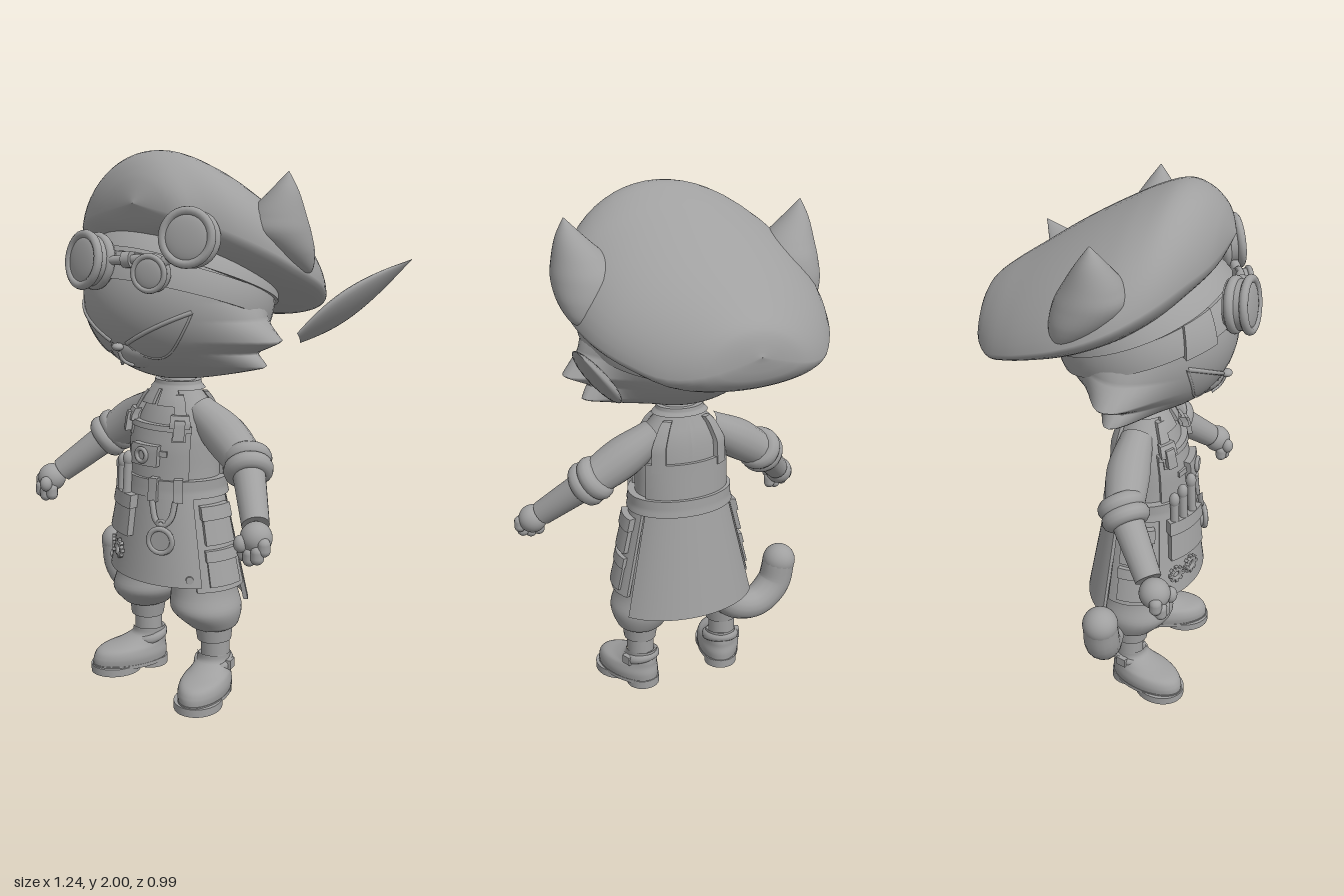
import * as THREE from 'three';
import { ParametricGeometry } from 'three/addons/geometries/ParametricGeometry.js';

const V = (x, y, z) => new THREE.Vector3(x, y, z);
const { sin, cos, sqrt, max, PI, abs } = Math;
const { lerp } = THREE.MathUtils;

// Smooth sample of a table of rows, t in 0..1
function sample(rows, t) {
  const f = t * (rows.length - 1), i = Math.min(Math.floor(f), rows.length - 2), k = f - i;
  const r = j => rows[THREE.MathUtils.clamp(j, 0, rows.length - 1)];
  return rows[0].map((_, c) => {
    const [a, b, d, e] = [r(i - 1)[c], r(i)[c], r(i + 1)[c], r(i + 2)[c]];
    return b + 0.5 * k * (d - a + k * (2 * a - 5 * b + 4 * d - e + k * (3 * (b - d) + e - a)));
  });
}
// Straight-line lookup in rows whose first column is y, rising
function lookup(rows, y) {
  let i = 0;
  while (i < rows.length - 2 && y > rows[i + 1][0]) i++;
  const k = (y - rows[i][0]) / (rows[i + 1][0] - rows[i][0]);
  return rows[i].map((v, c) => lerp(v, rows[i + 1][c], k));
}
// Stacked ellipses, rows of [y, cx, cz, rx, rz] from bottom to top
const loft = (rows, seg = 32, steps = 24) => new ParametricGeometry((u, v, p) => {
  const [y, cx, cz, rx, rz] = sample(rows, v), a = u * 2 * PI;
  p.set(cx + max(rx, 0.001) * sin(a), y, cz + max(rz, 0.001) * cos(a));
}, seg, steps);

// Body outline: y, half width, front depth, back depth
const CZ = 0.09;
const BODY = [[0.34, 0.295, 0.225, 0.205], [0.8, 0.18, 0.165, 0.125], [0.95, 0.18, 0.15, 0.115],
  [1.05, 0.175, 0.125, 0.11], [1.12, 0.13, 0.09, 0.09], [1.17, 0.075, 0.06, 0.06], [1.24, 0.06, 0.05, 0.05]];
function onBody(a, y, off = 0) {
  const [, rx, rf, rb] = lookup(BODY, y).map(r => r + off);
  return V(rx * sin(a), y, CZ + cos(a) * (cos(a) > 0 ? rf : rb));
}
// Curved slab that follows the body
function panelGeo(a0, a1, y0, y1, inner, outer, rule = onBody) {
  const g = new THREE.BoxGeometry(1, 1, 1, Math.ceil(abs(a1 - a0) * 9) + 1, 8, 1), p = g.attributes.position;
  for (let i = 0; i < p.count; i++) {
    const q = rule(lerp(a0, a1, p.getX(i) + 0.5), lerp(y0, y1, p.getY(i) + 0.5), lerp(inner, outer, p.getZ(i) + 0.5));
    p.setXYZ(i, q.x, q.y, q.z);
  }
  g.computeVertexNormals();
  return g;
}
// Tube whose radius changes along its path
function limb(points, radii) {
  const curve = new THREE.CatmullRomCurve3(points), n = 24, m = 16;
  const g = new THREE.TubeGeometry(curve, n, 1, m), p = g.attributes.position, q = V(0, 0, 0);
  for (let i = 0; i < p.count; i++) {
    const t = Math.floor(i / (m + 1)) / n, c = curve.getPointAt(t), r = sample(radii.map(x => [x]), t)[0];
    q.fromBufferAttribute(p, i).sub(c).multiplyScalar(r).add(c);
    p.setXYZ(i, q.x, q.y, q.z);
  }
  return g;
}
// Head surface, and how far the cheek fur flares out at each height
const HEAD = { y: 1.49, z: 0.1, rx: 0.36, ry: 0.3, rz: 0.315 };
const FUR = [[1.19, 0], [1.22, 0.06], [1.265, 0.168], [1.312, 0.075], [1.36, 0.148], [1.43, 0.04], [1.5, 0], [1.8, 0]];
const faceAt = (x, y, off = 0) => V(x, y, HEAD.z + off +
  HEAD.rz * sqrt(max(0.01, 1 - (x / HEAD.rx) ** 2 - ((y - HEAD.y) / HEAD.ry) ** 2)));

export function createModel() {
  const model = new THREE.Group();
  const grey = new THREE.MeshStandardMaterial({ color: 0xa0a0a0 });
  const add = (name, geo, pos, parent = model) => {
    const m = new THREE.Mesh(geo, grey);
    m.name = name;
    if (pos) m.position.copy(pos);
    parent.add(m);
    return m;
  };
  const ball = (name, pos, rx, ry = rx, rz = rx) =>
    add(name, new THREE.SphereGeometry(1, 32, 20).scale(rx, ry, rz), pos);
  const rod = (name, a, b, r0, r1 = r0, seg = 20) => {
    const d = b.clone().sub(a);
    const m = add(name, new THREE.CylinderGeometry(r1, r0, d.length(), seg), a.clone().lerp(b, 0.5));
    m.quaternion.setFromUnitVectors(V(0, 1, 0), d.normalize());
  };
  const wire = (name, pts, r) =>
    add(name, new THREE.TubeGeometry(new THREE.CatmullRomCurve3(pts), 20, r, 8));
  const panel = (name, ...args) => add(name, panelGeo(...args));
  const facing = (name, pos, dir) => {
    const g = new THREE.Group();
    g.name = name;
    g.position.copy(pos);
    g.lookAt(pos.clone().add(dir));
    model.add(g);
    return g;
  };
  const mount = (name, a, y, off) => facing(name, onBody(a, y, off), V(sin(a), 0, cos(a)));
  const disc = (r, h, seg = 28) => new THREE.CylinderGeometry(r, r, h, seg).rotateX(PI / 2);

  // Head with cheek fur, and face
  add('head', new ParametricGeometry((u, v, p) => {
    const a = u * 2 * PI, t = lerp(-0.499, 0.499, v) * PI, y = HEAD.y + HEAD.ry * sin(t);
    const flare = lookup(FUR, y)[1] * abs(sin(a)) ** 12;
    p.set(sin(a) * (HEAD.rx * cos(t) + flare), y, HEAD.z + HEAD.rz * cos(t) * cos(a) - 0.25 * flare);
  }, 64, 72));
  ball('muzzle', V(0, 1.325, 0.24), 0.13, 0.085, 0.135);
  ball('nose', V(0, 1.33, 0.383), 0.022, 0.014, 0.02);
  for (const s of [1, -1]) {
    wire('mouth', [V(0, 1.315, 0.378), V(s * 0.005, 1.28, 0.36), V(s * 0.03, 1.262, 0.335)], 0.006);
    const lid = u => [s * lerp(0.04, 0.28, u), lerp(1.345, 1.465, u)];
    const low = u => lid(u)[1] - 0.1 * sin(PI * u) ** 0.75;
    add('eye', new ParametricGeometry((u, v, p) => {
      const k = s > 0 ? u : 1 - u, [x, y] = lid(k);
      p.copy(faceAt(x, lerp(low(k), y, v), 0.003));
    }, 20, 8));
    const steps = [...Array(13).keys()].map(i => i / 12);
    wire('eyelid', steps.map(u => faceAt(...lid(u), 0.001)), 0.008);
    wire('eye rim', steps.map(u => faceAt(lid(u)[0], low(u))), 0.005);
    // Ears
    add('ear', loft([[1.565, s * 0.42, -0.085, 0.001, 0.001], [1.59, s * 0.41, -0.075, 0.065, 0.05],
      [1.65, s * 0.4, -0.035, 0.105, 0.098], [1.72, s * 0.39, 0.004, 0.122, 0.122],
      [1.78, s * 0.403, 0.016, 0.102, 0.1], [1.86, s * 0.438, 0.02, 0.05, 0.05],
      [1.925, s * 0.457, 0.02, 0.001, 0.001]]));
  }

  // Beret: slices along z of [z, top, bottom, half width, centre x]
  const slices = [[-0.5, 1.521, 1.52, 0.001, -0.02], [-0.475, 1.605, 1.425, 0.18, -0.02],
    [-0.4, 1.67, 1.385, 0.305, -0.02], [-0.3, 1.735, 1.41, 0.39, -0.015], [-0.2, 1.8, 1.44, 0.445, -0.01],
    [-0.1, 1.86, 1.47, 0.475, -0.01], [0, 1.915, 1.505, 0.482, -0.01], [0.1, 1.965, 1.55, 0.465, -0.005],
    [0.2, 1.998, 1.61, 0.4, 0], [0.28, 1.975, 1.68, 0.3, 0.015], [0.34, 1.91, 1.74, 0.185, 0.05],
    [0.378, 1.821, 1.82, 0.001, 0.08]];
  add('beret', new ParametricGeometry((u, v, p) => {
    const [z, top, low, w, cx] = sample(slices, v), a = u * 2 * PI, mid = lerp(low, top, 0.27), k = sin(a);
    p.set(cx + max(w, 0.001) * cos(a) * (1 - 0.1 * max(k, 0)) + 0.06 * max(k, 0) * w,
      mid + (k > 0 ? (top - mid) * k : (mid - low) * k), z);
  }, 48, 40));
  const around = (lift, slope) => (a, h, off) => {
    const z0 = HEAD.z + HEAD.rz * cos(a), y = lift + slope * (z0 + 0.2) + h;
    const k = sqrt(max(0.1, 1 - ((y - HEAD.y) / HEAD.ry) ** 2));
    return V((HEAD.rx * k + off) * sin(a), y, HEAD.z + (HEAD.rz * k + off) * cos(a));
  };
  panel('beret band', -PI, PI, -0.04, 0.04, -0.02, 0.03, around(1.47, 0.4));
  panel('goggle strap', -PI, PI, -0.045, 0.045, -0.02, 0.018, around(1.4, 0.35));

  // Feather
  const quill = [V(0.375, 1.345, -0.145), V(0.485, 1.475, -0.31), V(0.61, 1.62, -0.49)];
  const spine = new THREE.CatmullRomCurve3(quill), across = V(-0.11, -0.13, -0.17).normalize();
  const thick = quill[2].clone().sub(quill[0]).normalize().cross(across).normalize();
  add('feather', new ParametricGeometry((u, v, p) => {
    const w = 0.098 * max(0.01, sin(PI * (0.12 + 0.88 * v))), a = u * 2 * PI;
    p.copy(spine.getPoint(v)).addScaledVector(across, w * cos(a)).addScaledVector(thick, 0.28 * w * sin(a));
  }, 24, 24));

  // Goggles
  const lens = (name, pos, dir, r, depth) => {
    const g = facing(name, pos, dir);
    add('housing', disc(r * 0.86, depth), V(0, 0, depth / 2), g);
    add('back ring', new THREE.TorusGeometry(r * 0.8, r * 0.18, 10, 32), V(0, 0, depth * 0.3), g);
    add('front ring', new THREE.TorusGeometry(r * 0.86, r * 0.15, 10, 32), V(0, 0, depth), g);
    add('glass', new THREE.SphereGeometry(r * 0.8, 28, 14).scale(1, 1, 0.2), V(0, 0, depth), g);
  };
  lens('right goggle', V(-0.07, 1.62, 0.39), V(-0.1, 0.14, 1), 0.102, 0.075);
  lens('left goggle', V(0.27, 1.705, 0.27), V(0.45, 0.12, 1), 0.1, 0.08);
  lens('small goggle', V(0.175, 1.595, 0.365), V(0.4, 0, 1), 0.066, 0.05);
  rod('goggle bridge', V(0.01, 1.63, 0.42), V(0.16, 1.64, 0.385), 0.016);
  rod('bridge knob', V(0.07, 1.635, 0.41), V(0.1, 1.637, 0.4), 0.028);
  rod('lens hinge', V(0.2, 1.61, 0.38), V(0.27, 1.69, 0.32), 0.018);
  panel('strap buckle', -0.95, -0.6, -0.055, 0.055, 0, 0.035, around(1.4, 0.35));

  // Torso, collar and straps
  panel('shirt', -PI, PI, 0.7, 1.24, -0.02, 0);
  panel('bib', -0.95, 0.95, 0.83, 1.03, 0, 0.016);
  panel('bib trim', -0.95, 0.95, 1.015, 1.035, 0, 0.024);
  panel('back bib', PI - 1.1, PI + 1.1, 0.83, 0.98, 0, 0.014);
  panel('collar band', -PI, PI, 1.155, 1.185, 0, 0.02);
  panel('belt', -PI, PI, 0.775, 0.84, 0, 0.028);
  for (const s of [1, -1]) {
    const side = (name, a, w, ...rest) => panel(name, s * a - w, s * a + w, ...rest);
    side('collar flap', 0.38, 0.3, 1.1, 1.165, 0.006, 0.02);
    side('front strap', 0.7, 0.14, 0.98, 1.14, 0, 0.022);
    side('back strap', PI - 0.75, 0.16, 0.95, 1.14, 0, 0.018);
    side('strap buckle', 0.7, 0.2, 1.03, 1.075, 0.01, 0.035);
    side('strap clip', 0.7, 0.1, 0.99, 1.06, 0.01, 0.045);
    // Skirt sides with pockets
    side('side skirt', 1.45, 0.5, 0.44, 0.79, 0, 0.016);
    side('upper pocket', 1.45, 0.3, 0.61, 0.74, 0.01, 0.035);
    side('upper pocket flap', 1.45, 0.33, 0.7, 0.75, 0.01, 0.042);
    side('lower pocket', 1.45, 0.3, 0.46, 0.575, 0.01, 0.026);
    side('lower pocket flap', 1.45, 0.32, 0.55, 0.59, 0.01, 0.032);
    add('apron rivet', disc(0.014, 0.02), null, mount('rivet', s * 0.85, 0.49, 0.02));

    // Arms
    const elbow = V(s * 0.365, 0.92, 0.105), wrist = V(s * 0.52, 0.765, 0.235);
    add('sleeve', limb([V(s * 0.11, 1.075, 0.085), V(s * 0.225, 1.01, 0.085), elbow], [0.062, 0.08, 0.07]));
    const along = wrist.clone().sub(elbow).normalize();
    const cuff = facing('sleeve cuff', elbow, along);
    for (const z of [-0.025, 0.02])
      add('cuff roll', new THREE.TorusGeometry(0.055, 0.034, 12, 28), V(0, 0, z), cuff);
    rod('forearm', elbow, wrist, 0.06, 0.048);
    ball('palm', V(s * 0.55, 0.735, 0.265), 0.055);
    [[0.52, 0.685, 0.29], [0.55, 0.677, 0.298], [0.582, 0.688, 0.295], [0.597, 0.715, 0.28]].forEach(f =>
      add('finger', new THREE.CapsuleGeometry(0.023, 0.02, 6, 12), V(s * f[0], f[1], f[2])));
    ball('thumb', V(s * 0.525, 0.72, 0.315), 0.024, 0.03, 0.024);

    // Legs
    add('trouser leg', loft([[0.27, s * 0.185, 0.09, 0.075, 0.08], [0.285, s * 0.18, 0.09, 0.095, 0.1],
      [0.345, s * 0.163, 0.105, 0.127, 0.138], [0.42, s * 0.15, 0.105, 0.118, 0.13],
      [0.55, s * 0.125, 0.1, 0.122, 0.125], [0.7, s * 0.09, 0.09, 0.09, 0.1]]));
    rod('trouser cuff', V(s * 0.185, 0.215, 0.085), V(s * 0.182, 0.285, 0.085), 0.064, 0.073);
    rod('sock', V(s * 0.185, 0.1, 0.08), V(s * 0.185, 0.23, 0.08), 0.054);

    // Boots
    const boot = new THREE.Group();
    boot.name = 'boot';
    boot.position.set(s * 0.18, 0, 0.08);
    boot.rotation.y = s * 0.35;
    model.add(boot);
    add('boot upper', loft([[0.022, 0, 0.085, 0.082, 0.152], [0.06, 0, 0.083, 0.088, 0.152],
      [0.09, 0, 0.073, 0.082, 0.138], [0.11, 0, 0.035, 0.07, 0.1], [0.135, 0, 0.005, 0.062, 0.068],
      [0.165, 0, 0, 0.062, 0.064]]), null, boot);
    add('sole', new THREE.CylinderGeometry(1, 1, 0.03, 32).scale(0.088, 1, 0.1), V(0, 0.015, 0.145), boot);
    add('sole edge', new THREE.CylinderGeometry(1, 1, 0.014, 32).scale(0.086, 1, 0.156), V(0, 0.028, 0.085), boot);
    add('heel', new THREE.CylinderGeometry(0.066, 0.066, 0.034, 24), V(0, 0.017, -0.005), boot);
    add('boot strap', new THREE.TorusGeometry(0.064, 0.012, 8, 28).scale(1, 1, 1.6).rotateX(PI / 2 + 0.25),
      V(0, 0.125, 0.005), boot);
    add('boot buckle', new THREE.BoxGeometry(0.02, 0.035, 0.04), V(s * 0.07, 0.125, 0.01), boot);
  }

  // Apron and coat tail
  panel('front apron', -1.02, 1.02, 0.46, 0.79, 0.008, 0.024);
  panel('coat tail', PI - 1.1, PI + 1.1, 0.365, 0.79, -0.004, 0.014);

  // Tail
  const tip = V(-0.425, 0.445, 0.03);
  add('tail', limb([V(-0.08, 0.42, 0.02), V(-0.2, 0.3, 0.015), V(-0.31, 0.28, 0.02), V(-0.4, 0.345, 0.03), tip],
    [0.045, 0.055, 0.062, 0.068, 0.066]));
  ball('tail tip', tip, 0.067);

  // Chest pouch and belt gear
  panel('chest strap', -0.5, 0.5, 0.925, 0.945, 0.01, 0.024);
  panel('chest pouch', -0.25, 0.35, 0.89, 0.965, 0.01, 0.042);
  const clasp = mount('chest clasp', 0.05, 0.928, 0.046);
  add('clasp ring', new THREE.TorusGeometry(0.024, 0.008, 8, 20), null, clasp);
  panel('belt pouch', -0.85, -0.1, 0.62, 0.765, 0.015, 0.05);
  panel('belt pouch flap', -0.88, -0.07, 0.725, 0.775, 0.015, 0.058);
  [-0.75, -0.55, -0.3].forEach((a, i) => {
    rod('tool', onBody(a, 0.76, 0.04), onBody(a, 0.86 + 0.02 * i, 0.045), 0.016);
    ball('tool grip', onBody(a, 0.86 + 0.02 * i, 0.045), 0.02, 0.03, 0.02);
  });
  for (const a of [0.3, 0.75]) panel('belt loop', a - 0.08, a + 0.08, 0.765, 0.85, 0.01, 0.042);
  wire('watch chain', [[0.3, 0.77], [0.38, 0.7], [0.5, 0.685], [0.62, 0.71], [0.7, 0.77]]
    .map(([a, y]) => onBody(a, y, 0.04)), 0.011);
  const watch = mount('pocket watch', 0.46, 0.63, 0.035);
  add('watch case', disc(0.045, 0.025), null, watch);
  add('watch rim', new THREE.TorusGeometry(0.045, 0.01, 8, 28), V(0, 0, 0.01), watch);
  add('watch crown', new THREE.TorusGeometry(0.014, 0.006, 8, 16), V(0, 0.06, 0), watch);
  [[-0.72, 0.545, 0.028], [-0.4, 0.55, 0.032]].forEach(([a, y, r]) => {
    const gear = mount('gear', a, y, 0.028);
    add('gear ring', new THREE.TorusGeometry(r * 0.7, r * 0.28, 6, 24), null, gear);
    for (let i = 0; i < 8; i++) {
      const t = i * PI / 4;
      add('gear tooth', new THREE.BoxGeometry(0.012, 0.012, 0.014), V(r * cos(t), r * sin(t), 0), gear).rotation.z = t;
    }
  });
  return model;
}
